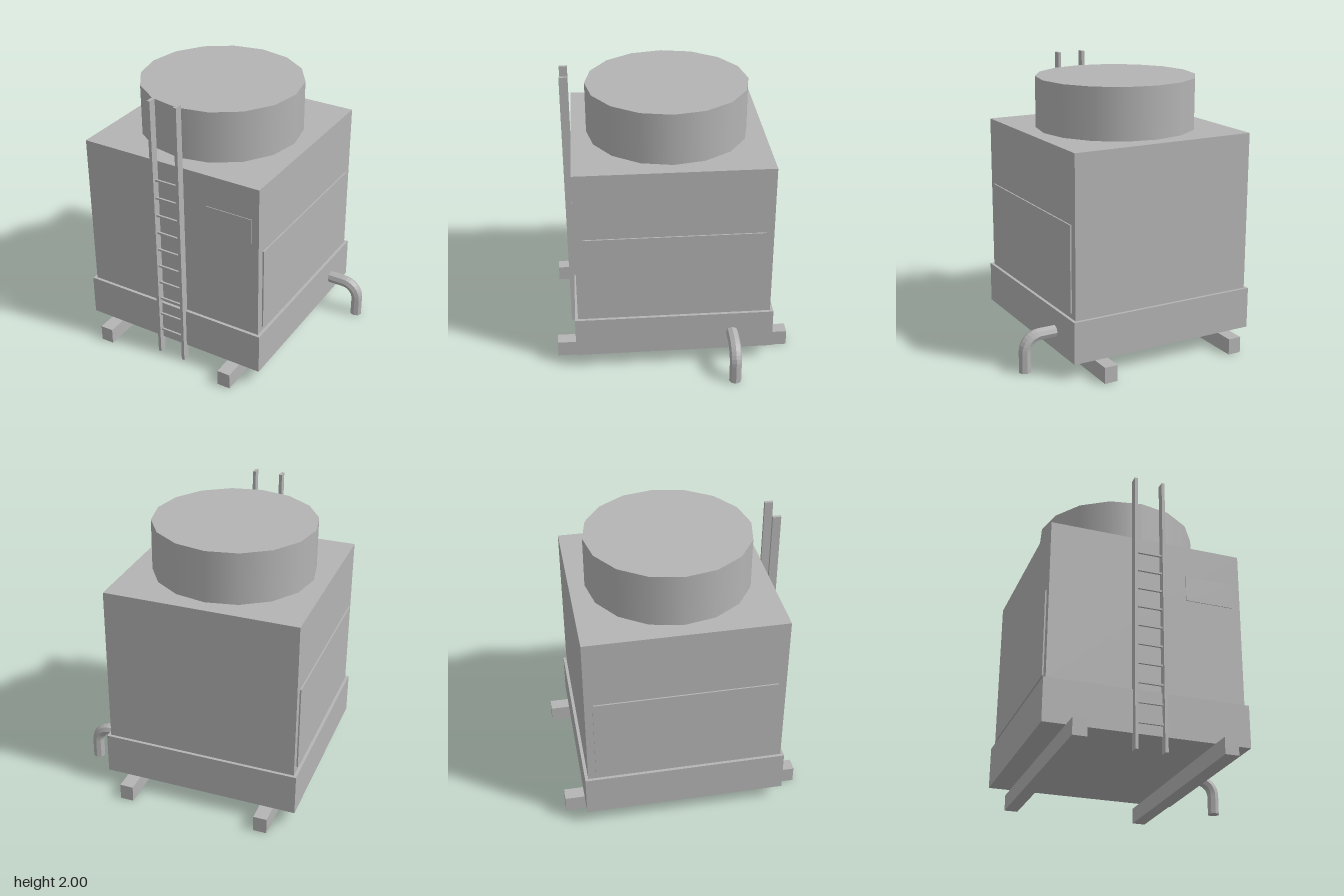
import * as THREE from 'three';

export function createModel() {
  const model = new THREE.Group();
  model.name = 'coolingTower';
  const grey = new THREE.MeshStandardMaterial({ color: 0xb4b4b4 });
  grey.name = 'grey';
  const CX = -0.14; // centre line of the housing

  const add = (name, geometry, x, y, z, parent = model) => {
    const mesh = new THREE.Mesh(geometry, grey);
    mesh.name = name;
    mesh.position.set(x, y, z);
    parent.add(mesh);
    return mesh;
  };
  // Box given by its limits on each axis
  const box = (name, [x0, x1], [y0, y1], [z0, z1], parent) =>
    add(name, new THREE.BoxGeometry(x1 - x0, y1 - y0, z1 - z0),
      (x0 + x1) / 2, (y0 + y1) / 2, (z0 + z1) / 2, parent);

  // Basin, housing and fan stack
  box('basin', [CX - 0.703, CX + 0.703], [0.115, 0.412], [-0.703, 0.703]);
  box('housing', [CX - 0.681, CX + 0.681], [0.412, 1.546], [-0.681, 0.681]);
  add('fanStack', new THREE.CylinderGeometry(0.571, 0.571, 0.365, 16), CX, 1.728, 0);

  // Skids and side panels, mirrored about the centre line
  for (const s of [-1, 1]) {
    const skidX = CX + s * 0.5;
    box('skid', [skidX - 0.048, skidX + 0.048], [0, 0.115], [-0.84, 0.84]);
    const panelX = CX + s * 0.686;
    box('sidePanel', [panelX - 0.005, panelX + 0.005], [0.45, 1.06], [-0.627, 0.627]);
  }

  // Small plate on the front
  box('frontPlate', [0.14, 0.485], [1.13, 1.315], [0.68, 0.686]);

  // Ladder
  const ladder = new THREE.Group();
  ladder.name = 'ladder';
  model.add(ladder);
  for (const s of [-1, 1]) {
    const x = CX + s * 0.1;
    box('ladderRail', [x - 0.011, x + 0.011], [0, 2], [0.684, 0.741], ladder);
  }
  for (let i = 0; i < 10; i++) {
    const y = 0.19 + i * 0.1365;
    box('ladderRung', [CX - 0.09, CX + 0.09], [y - 0.007, y + 0.007], [0.708, 0.722], ladder);
  }

  // Outlet pipe: straight run, elbow and drop
  const pipe = new THREE.Group();
  pipe.name = 'outletPipe';
  model.add(pipe);
  const r = 0.043, bend = 0.113, bx = 0.679, by = 0.14, z = -0.41;
  const facet = (g) => {
    const flat = g.toNonIndexed();
    flat.computeVertexNormals();
    return flat;
  };
  const run = add('pipeRun', facet(new THREE.CylinderGeometry(r, r, bx - 0.54, 8)),
    (bx + 0.54) / 2, by + bend, z, pipe);
  run.rotation.z = Math.PI / 2;
  add('pipeElbow', facet(new THREE.TorusGeometry(bend, r, 8, 8, Math.PI / 2)), bx, by, z, pipe);
  add('pipeDrop', facet(new THREE.CylinderGeometry(r, r, by, 8)), bx + bend, by / 2, z, pipe);

  return model;
}
